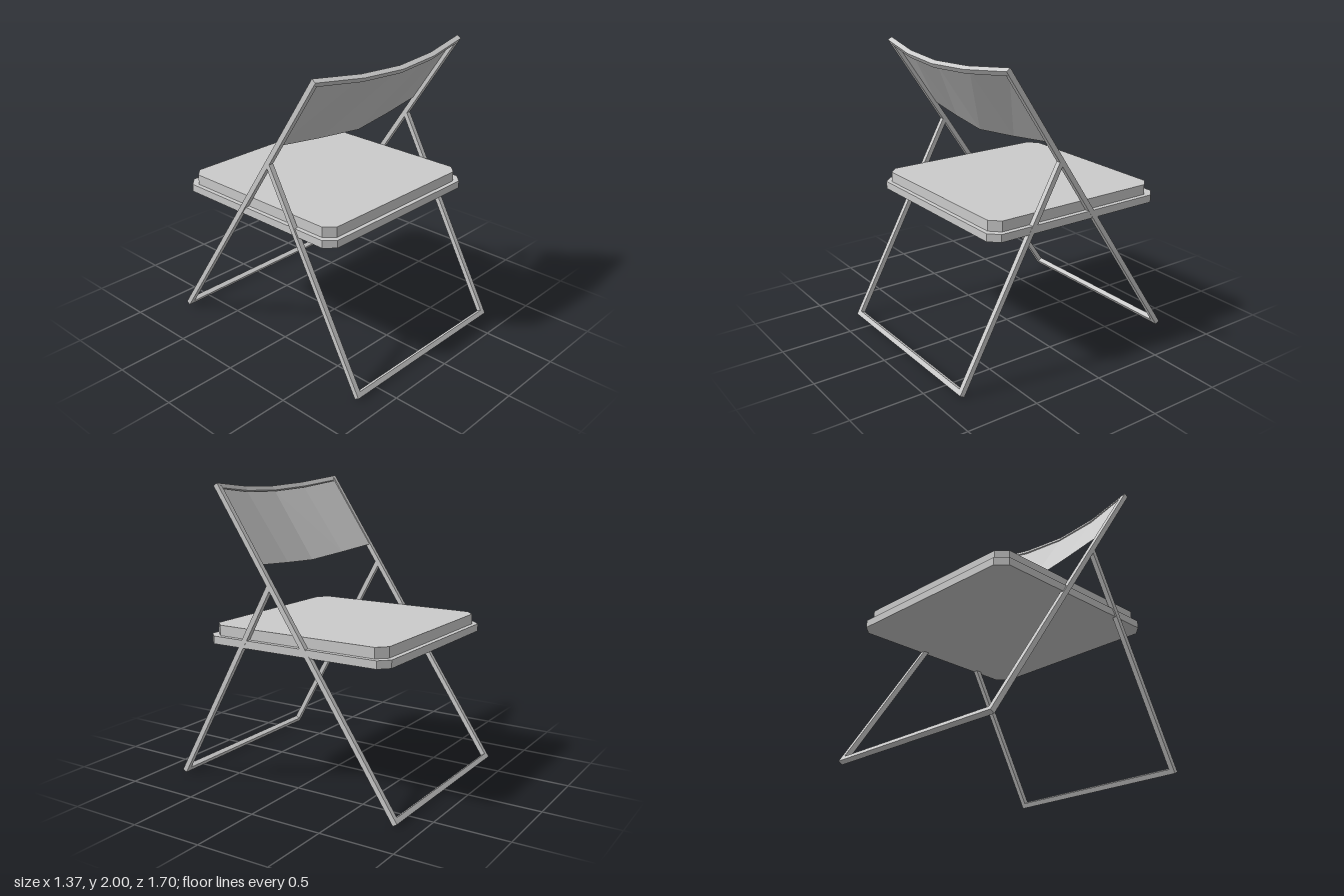
import * as THREE from 'three';

const BAR = 0.034;     // square section of the frame bars
const HALF = 0.67;     // x of the side bar centre lines
const FULL = 2 * HALF + BAR;

const material = new THREE.MeshStandardMaterial({ color: 0xcccccc, flatShading: true });
const doubleSided = material.clone();
doubleSided.side = THREE.DoubleSide;

function add(parent, name, geometry, x = 0, y = 0, z = 0, mat = material) {
  const mesh = new THREE.Mesh(geometry, mat);
  mesh.name = name;
  mesh.position.set(x, y, z);
  parent.add(mesh);
  return mesh;
}

// Tilted U-frame: a floor bar and two side bars rising along local y
function makeFrame(name, z, tilt, length) {
  const frame = new THREE.Group();
  frame.name = name;
  frame.position.set(0, 0.024, z);
  frame.rotation.x = tilt;
  add(frame, name + 'FloorBar', new THREE.BoxGeometry(FULL, BAR, BAR));
  for (const side of [-1, 1]) {
    const h = length + BAR / 2;
    add(frame, name + (side > 0 ? 'LeftBar' : 'RightBar'),
      new THREE.BoxGeometry(BAR, h, BAR), side * HALF, h / 2 - BAR / 2 + 0.001, 0);
  }
  return frame;
}

// Move the columns of a four-segment geometry to given x and forward bulge
function bow(geometry, xs, bulge) {
  const p = geometry.attributes.position;
  const width = geometry.parameters.width;
  for (let i = 0; i < p.count; i++) {
    const column = Math.round((p.getX(i) / width + 0.5) * 4);
    const k = Math.abs(column - 2);
    p.setX(i, Math.sign(column - 2) * xs[k]);
    p.setZ(i, p.getZ(i) + bulge(k, p.getY(i)));
  }
  geometry.computeVertexNormals();
  return geometry;
}

// Flat slab with cut corners, standing on y = 0
function makeSlab(x0, x1, z0, z1, cut, height) {
  const shape = new THREE.Shape([
    [x0 + cut, -z1], [x1 - cut, -z1], [x1, -z1 + cut], [x1, -z0 - cut],
    [x1 - cut, -z0], [x0 + cut, -z0], [x0, -z0 - cut], [x0, -z1 + cut],
  ].map(([x, y]) => new THREE.Vector2(x, y)));
  const geometry = new THREE.ExtrudeGeometry(shape, { depth: height, bevelEnabled: false });
  return geometry.rotateX(-Math.PI / 2);
}

export function createModel() {
  const chair = new THREE.Group();
  chair.name = 'foldingChair';

  // Long frame that carries the backrest
  const length = Math.hypot(1.302, 1.952);
  const backFrame = makeFrame('backFrame', -0.826, Math.atan2(1.302, 1.952), length);
  chair.add(backFrame);

  // Bowed top rail
  const railBulge = [0.09, 0.066, 0];
  add(backFrame, 'topRail',
    bow(new THREE.BoxGeometry(FULL, BAR, BAR, 4, 1, 1), [0, 0.33, FULL / 2], (k) => railBulge[k]),
    0, length, 0);

  // Thin backrest panel: rounder at the top, a shallow V at the bottom
  const topBulge = [0.079, 0.057, -0.009];
  const bottomBulge = [0.074, 0.035, -0.012];
  add(backFrame, 'backrestPanel',
    bow(new THREE.PlaneGeometry(1.3, 0.555, 4, 1), [0, 0.33, 0.655],
      (k, y) => (y > 0 ? topBulge : bottomBulge)[k]),
    0, length - 0.3, 0, doubleSided);

  // Short frame that meets the long one below the backrest
  chair.add(makeFrame('frontFrame', 0.826, Math.atan2(-0.748, 1.35), 1.535));

  // Seat board and cushion
  add(chair, 'seatBoard', makeSlab(-0.677, 0.686, -0.763, 0.6, 0.066, 0.052), 0, 0.954, 0);
  add(chair, 'seatCushion', makeSlab(-0.647, 0.653, -0.73, 0.57, 0.064, 0.07), 0, 1.006, 0);

  return chair;
}
